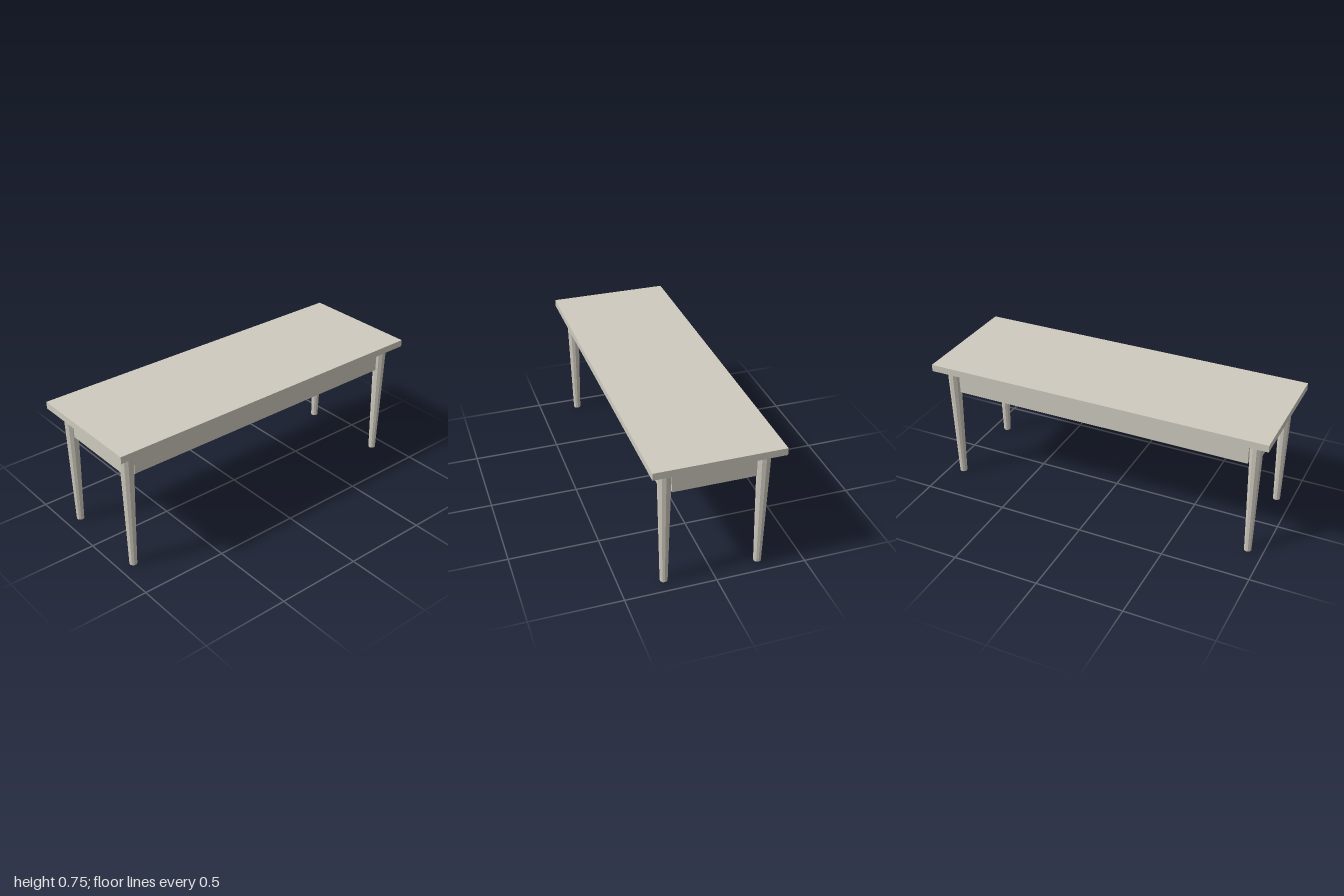
import * as THREE from 'three';

export function createModel() {
  const table = new THREE.Group();
  table.name = 'table';
  const wood = new THREE.MeshStandardMaterial({ color: 0xcfcbbf, flatShading: true });
  wood.name = 'pale wood';

  const add = (name, geometry, x, y, z) => {
    const mesh = new THREE.Mesh(geometry, wood);
    mesh.name = name;
    mesh.position.set(x, y, z);
    table.add(mesh);
  };

  const legX = 0.9125, legZ = 0.2625, underside = 0.71;

  // Table top slab
  add('tableTop', new THREE.BoxGeometry(2, 0.04, 0.7), 0, underside + 0.02, 0);

  // Aprons running between the legs, centred on the leg lines
  const apronH = 0.15, apronT = 0.02, apronY = underside - apronH / 2;
  const longApron = new THREE.BoxGeometry(1.75, apronH, apronT);
  const shortApron = new THREE.BoxGeometry(apronT, apronH, 0.45);
  add('frontApron', longApron, 0, apronY, legZ);
  add('backApron', longApron, 0, apronY, -legZ);
  add('leftApron', shortApron, legX, apronY, 0);
  add('rightApron', shortApron, -legX, apronY, 0);

  // Tapered ten-sided legs, with a corner facing along x
  const leg = new THREE.CylinderGeometry(0.0375, 0.021, underside, 10, 1, false, Math.PI / 2);
  for (const [zName, sz] of [['front', 1], ['back', -1]]) {
    for (const [xName, sx] of [['Left', 1], ['Right', -1]]) {
      add(`${zName}${xName}Leg`, leg, sx * legX, underside / 2, sz * legZ);
    }
  }
  return table;
}
